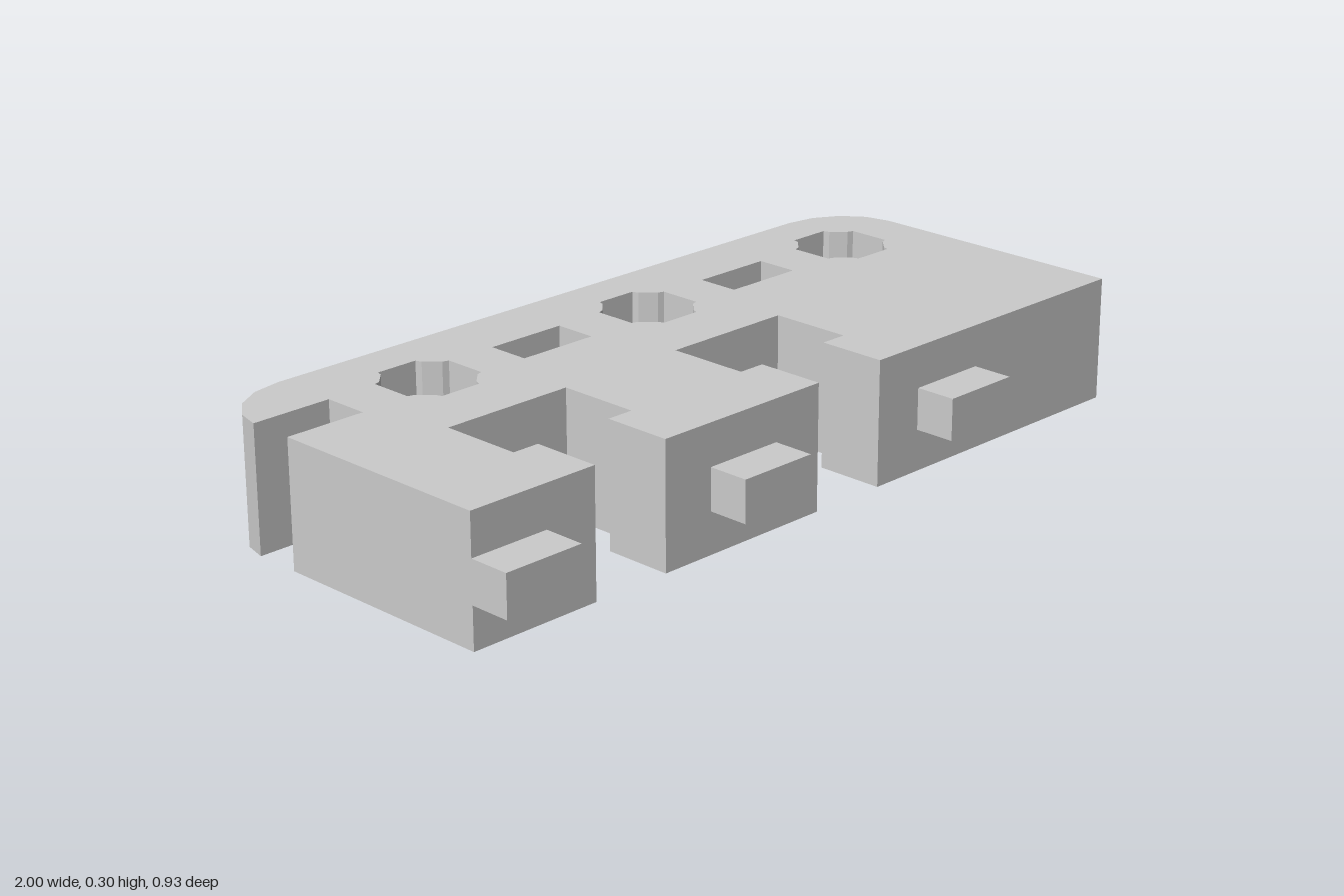
import * as THREE from 'three';

const HEIGHT = 0.3, FRONT = 0.367, BACK = -0.467;
const material = new THREE.MeshStandardMaterial({ color: 0xcccccc, flatShading: true });

// Plan coordinates are (x, z); shapes are drawn with y = -z.
const toPoints = (list) => list.map(([x, z]) => new THREE.Vector2(x, -z));

// Rounded back corner, from the side (x = 1) to the back edge.
function backCorner(side) {
  const rx = 0.19, rz = 0.167, steps = 4, points = [];
  for (let i = 0; i <= steps; i++) {
    const a = (i / steps) * Math.PI / 2;
    points.push([side * (1 - rx + rx * Math.cos(a)), BACK + rz - rz * Math.sin(a)]);
  }
  return points;
}

// T-shaped notch open to the front, listed left to right; x is the neck's start.
function tNotch(x) {
  const neck = 0.2, lip = 0.067;
  return [
    [x, FRONT], [x, 0.2], [x - lip, 0.2], [x - lip, 0],
    [x + neck + lip, 0], [x + neck + lip, 0.2], [x + neck, 0.2], [x + neck, FRONT],
  ];
}

// Octagonal hole with four shallow square-cut faces.
function notchedHole(cx, cz) {
  const quarter = [[0.105, 0.053], [0.09, 0.058], [0.058, 0.09], [0.053, 0.105]];
  const points = [];
  for (let q = 0; q < 4; q++) {
    const c = Math.round(Math.cos(q * Math.PI / 2)), s = Math.round(Math.sin(q * Math.PI / 2));
    for (const [x, z] of quarter) points.push([cx + x * c - z * s, cz + x * s + z * c]);
  }
  return new THREE.Path(toPoints(points));
}

function slot(x0, x1, z0, z1) {
  return new THREE.Path(toPoints([[x0, z0], [x1, z0], [x1, z1], [x0, z1]]));
}

export function createModel() {
  const group = new THREE.Group();
  group.name = 'slottedConnectorPlate';

  // Plate outline: front edge with notches, rounded back, open slot on the right side
  const outline = [
    [-1, FRONT], ...tNotch(-0.667), ...tNotch(0), [1, FRONT],
    ...backCorner(1), ...backCorner(-1).reverse(),
    [-1, -0.307], [-0.8, -0.307], [-0.8, -0.195], [-1, -0.195],
  ];
  // The slot cuts off the last stretch of the corner's straight end
  const shape = new THREE.Shape(toPoints(outline.filter(([x, z]) => !(x === -1 && z > -0.305 && z < -0.2))));

  for (const x of [-0.567, 0.1, 0.767]) shape.holes.push(notchedHole(x, -0.255));
  for (const x of [-0.337, 0.33]) shape.holes.push(slot(x, x + 0.204, -0.305, -0.2));

  const plateGeometry = new THREE.ExtrudeGeometry(shape, { depth: HEIGHT, bevelEnabled: false });
  plateGeometry.rotateX(-Math.PI / 2);
  const plate = new THREE.Mesh(plateGeometry, material);
  plate.name = 'plate';
  group.add(plate);

  // Pegs on the front face
  const pegGeometry = new THREE.BoxGeometry(0.2, 0.1, 0.1);
  [-0.9, -0.233, 0.433].forEach((x, i) => {
    const peg = new THREE.Mesh(pegGeometry, material);
    peg.name = `frontPeg${i + 1}`;
    peg.position.set(x, 0.15, FRONT + 0.05);
    group.add(peg);
  });

  return group;
}
